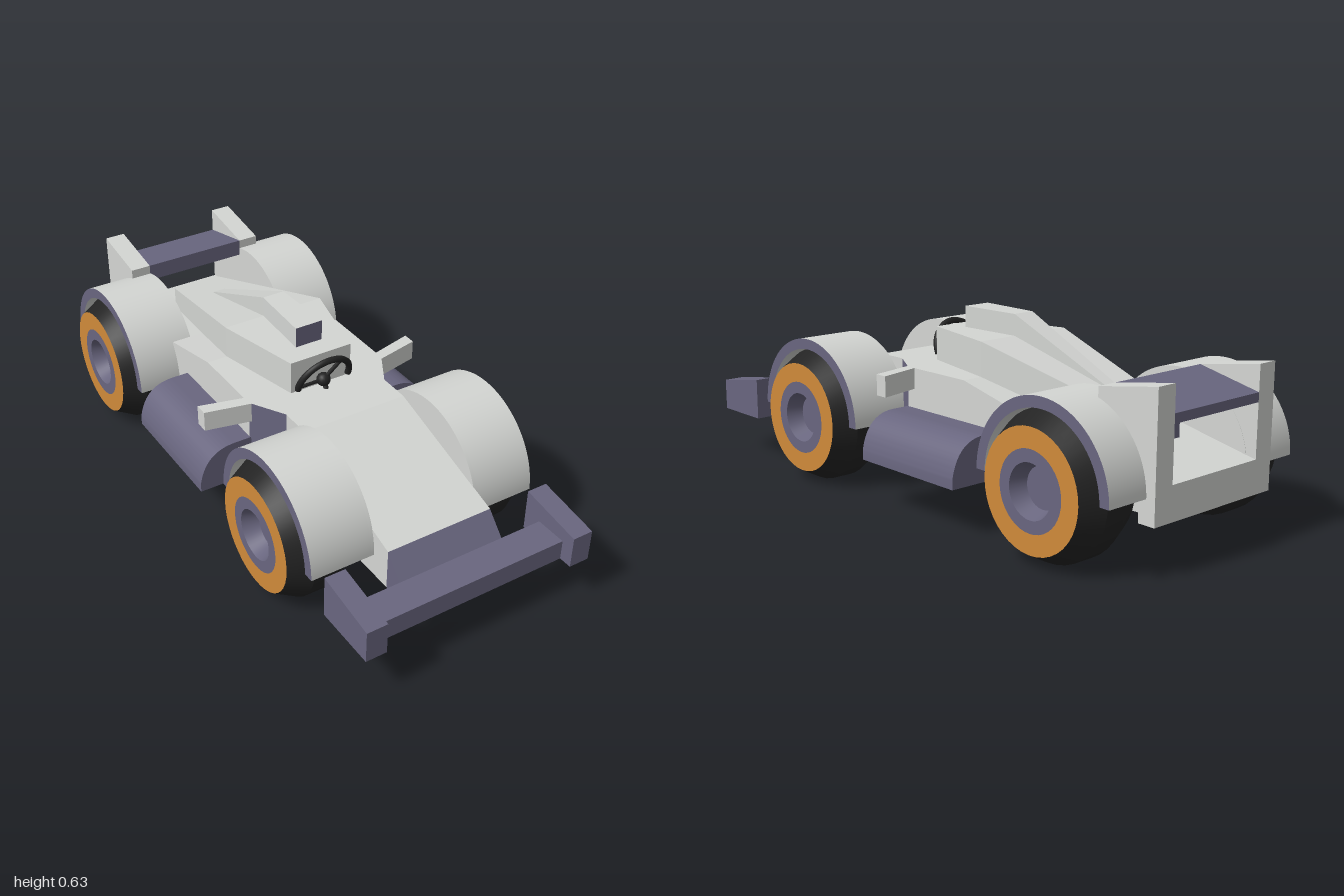
import * as THREE from 'three';
import { toCreasedNormals } from 'three/addons/utils/BufferGeometryUtils.js';

const mat = (name, color, side = THREE.FrontSide) => {
  const m = new THREE.MeshStandardMaterial({ color, side });
  m.name = name;
  return m;
};

export function createModel() {
  const light = mat('light grey', 0xd4d6d3);
  const slate = mat('slate purple', 0x69667f);
  const orange = mat('orange', 0xd08a3a);
  const black = mat('black', 0x232323);
  const car = new THREE.Group();
  car.name = 'racingCar';

  const add = (name, geometry, material, parent = car) => {
    const mesh = new THREE.Mesh(geometry, material);
    mesh.name = name;
    parent.add(mesh);
    return mesh;
  };

  // Four-sided loft from front to back; each section is [z, halfWidth, yBottom, yTop].
  // Materials are ordered bottom, right side, top, left side, front, back.
  const loft = (name, sections, materials) => {
    const rings = sections.map(([z, w, y0, y1]) =>
      [[-w, y0, z], [w, y0, z], [w, y1, z], [-w, y1, z]]);
    const pos = [];
    const geo = new THREE.BufferGeometry();
    const quad = (a, b, c, d) => pos.push(...a, ...b, ...c, ...a, ...c, ...d);
    for (let k = 0; k < 6; k++) {
      const start = pos.length / 3;
      if (k < 4) {
        const n = (k + 1) % 4;
        for (let i = 0; i < rings.length - 1; i++) {
          quad(rings[i][k], rings[i + 1][k], rings[i + 1][n], rings[i][n]);
        }
      } else if (k === 4) quad(...rings[0]);
      else quad(...[...rings[rings.length - 1]].reverse());
      geo.addGroup(start, pos.length / 3 - start, k);
    }
    geo.setAttribute('position', new THREE.Float32BufferAttribute(pos, 3));
    geo.computeVertexNormals();
    return add(name, geo, materials);
  };

  const shapeOf = (pts) => new THREE.Shape(pts.map(([x, y]) => new THREE.Vector2(x, y)));
  const extrude = (shape, depth) => toCreasedNormals(
    new THREE.ExtrudeGeometry(shape, { depth, bevelEnabled: false, curveSegments: 32 }), 0.5);
  // Side profile of [z, y] points, extruded from x0 to x1
  const sideProfile = (pts, x0, x1) =>
    extrude(shapeOf(pts.map(([z, y]) => [-z, y])), x1 - x0).rotateY(Math.PI / 2).translate(x0, 0, 0);
  const span = (s, a, b) => (s > 0 ? [a, b] : [-b, -a]);

  // Body from nose to tail
  const bodyMats = [slate, light, light, light, light, light];
  const b = 0.155;
  loft('noseTip', [[0.845, 0.19, b, 0.225], [0.78, 0.19, b, 0.295]], Array(6).fill(slate));
  loft('frontBody', [[0.78, 0.19, b, 0.295], [0.31, 0.19, b, 0.44], [0.2, 0.19, b, 0.44]], bodyMats);
  loft('sideIntakes', [[0.2, 0.19, b, 0.44], [0.08, 0.26, b, 0.44]],
    [slate, slate, light, slate, light, light]);
  loft('midBody', [[0.08, 0.26, b, 0.44], [-0.2, 0.26, b, 0.44], [-0.47, 0.26, b, 0.377]], bodyMats);
  loft('rearBody', [[-0.47, 0.19, b, 0.377], [-1, 0.19, b, 0.265]], bodyMats);

  // Engine cowl and air scoop
  loft('engineCowl', [[0.105, 0.115, 0.43, 0.555], [-0.2, 0.187, 0.43, 0.555], [-0.79, 0.09, 0.29, 0.39]],
    [light, light, light, light, light, slate]);
  loft('airScoop', [[0.03, 0.05, 0.54, 0.627], [-0.2, 0.04, 0.54, 0.627], [-0.6, 0.022, 0.43, 0.447]],
    [light, light, light, light, slate, light]);

  // Front wing
  const bar = add('frontWing', new THREE.BoxGeometry(0.68, 0.07, 0.11), slate);
  bar.position.set(0, 0.19, 0.9);

  // Rear wing, higher at its leading edge
  add('rearWing', sideProfile([[-0.78, 0.52], [-0.78, 0.46], [-1, 0.44], [-1, 0.47]], -0.19, 0.19), slate);

  for (const s of [1, -1]) {
    const side = s > 0 ? 'left' : 'right';
    add(side + 'FrontEndPlate', sideProfile([[0.78, b], [0.78, 0.3], [1, 0.265], [1, b]],
      ...span(s, 0.34, 0.412)), slate);
    add(side + 'RearEndPlate', sideProfile(
      [[-0.78, 0.3], [-0.78, 0.52], [-1, 0.555], [-1, b], [-0.94, b], [-0.94, 0.3]],
      ...span(s, 0.19, 0.262)), light);

    // Swept winglet beside the cockpit
    const plan = shapeOf([[0.25, 0.09], [0.41, 0.055], [0.41, 0.01], [0.25, 0.05]].map(([x, z]) => [s * x, -z]));
    add(side + 'Winglet', extrude(plan, 0.07).rotateX(-Math.PI / 2).translate(0, 0.37, 0), light);

    // Rounded side pod
    const pod = new THREE.Shape();
    pod.moveTo(s * 0.25, b);
    pod.lineTo(s * 0.45, b);
    pod.lineTo(s * 0.45, 0.185);
    pod.quadraticCurveTo(s * 0.43, 0.305, s * 0.32, 0.305);
    pod.lineTo(s * 0.25, 0.305);
    add(side + 'SidePod', extrude(pod, 0.45).translate(0, 0, -0.365), slate);
  }

  // Wheels and fenders
  const lathe = (pts) => toCreasedNormals(
    new THREE.LatheGeometry(pts.map(([r, x]) => new THREE.Vector2(r, x)), 40), 0.4).rotateZ(-Math.PI / 2);
  const tire = lathe([[0, -0.1125], [0.195, -0.1125], [0.23, -0.0375], [0.23, 0.0375], [0.19, 0.1125]]);
  const rim = lathe([[0.19, 0.1125], [0.125, 0.1125]]);
  const hub = lathe([[0.125, 0.1125], [0.085, 0.1125], [0.065, 0.06], [0, 0.06]]);
  const arch = new THREE.Shape();
  arch.absarc(0, 0, 0.268, 0, Math.PI, false);
  arch.absarc(0, 0, 0.232, Math.PI, 0, true);
  const half = new THREE.Shape();
  half.absarc(0, 0, 0.268, 0, Math.PI, false);

  for (const [end, z] of [['Front', 0.442], ['Rear', -0.7]]) {
    for (const s of [1, -1]) {
      const name = (s > 0 ? 'left' : 'right') + end;
      const wheel = new THREE.Group();
      wheel.name = name + 'Wheel';
      wheel.position.set(s * 0.3375, 0.23, z);
      if (s < 0) wheel.rotation.y = Math.PI;
      add('tire', tire, black, wheel);
      add('rim', rim, orange, wheel);
      add('hub', hub, slate, wheel);
      car.add(wheel);

      const [f0, f1] = span(s, 0.2, 0.412);
      const fender = add(name + 'Fender', extrude(arch, f1 - f0).rotateY(Math.PI / 2), [slate, light]);
      fender.position.set(f0, 0.232, z);
      const wall = add(name + 'FenderWall', extrude(half, 0.012).rotateY(Math.PI / 2), light);
      wall.position.set(span(s, 0.189, 0.201)[0], 0.232, z);
    }
  }

  // Steering wheel: open half ring, spokes and column
  const steering = new THREE.Group();
  steering.name = 'steeringWheel';
  steering.position.set(0, 0.465, 0.122);
  steering.rotation.x = 0.36;
  car.add(steering);
  add('ring', new THREE.TorusGeometry(0.097, 0.011, 8, 32, Math.PI + 0.2).rotateZ(-0.1), black, steering);
  add('hubBall', new THREE.SphereGeometry(0.024, 16, 10), black, steering);
  const rod = (name, x, y, z, r) => {
    const end = new THREE.Vector3(x, y, z);
    const line = new THREE.LineCurve3(new THREE.Vector3(), end);
    add(name, new THREE.TubeGeometry(line, 1, r, 8), black, steering);
  };
  rod('sideSpoke', -0.095, 0, 0, 0.006);
  rod('upperSpoke', 0.05, 0.083, 0, 0.007);
  rod('column', 0, -0.035, 0.045, 0.009);

  return car;
}
